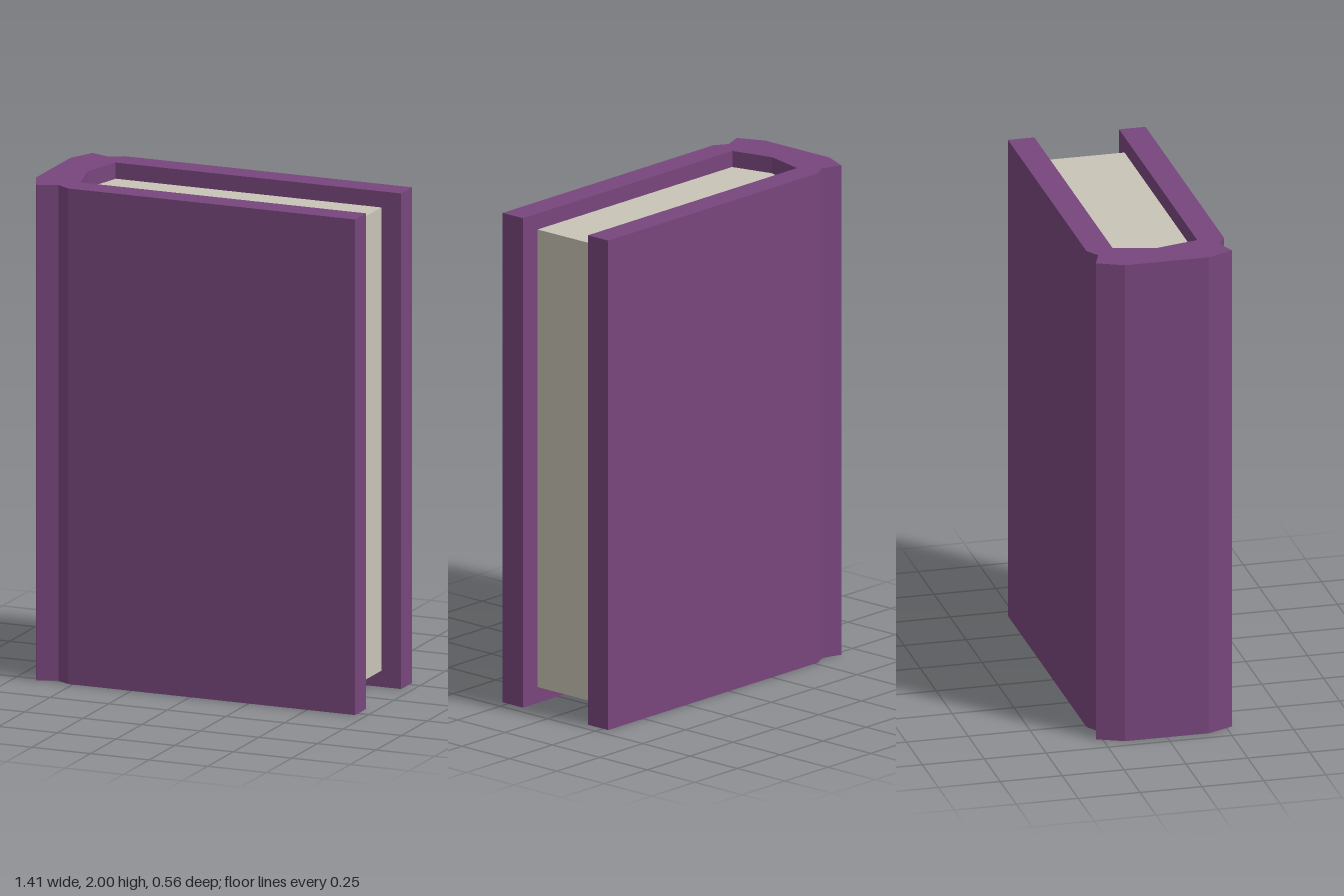
import * as THREE from 'three';

const purple = new THREE.MeshStandardMaterial({ color: 0x78467d });
purple.name = 'purple cover';
const cream = new THREE.MeshStandardMaterial({ color: 0xc9c4b7 });
cream.name = 'cream paper';

// Mirror a half outline [x, z] across z = 0 and extrude it upward from y0 to y1
function mirroredPrism(name, half, y0, y1, material) {
  const mirrored = half.filter(([, z]) => z !== 0).map(([x, z]) => [x, -z]).reverse();
  const points = [...half, ...mirrored].map(([x, z]) => new THREE.Vector2(x, z));
  const geometry = new THREE.ExtrudeGeometry(new THREE.Shape(points), { depth: y1 - y0, bevelEnabled: false });
  geometry.rotateX(-Math.PI / 2).translate(0, y0, 0);
  const mesh = new THREE.Mesh(geometry, material);
  mesh.name = name;
  return mesh;
}

export function createModel() {
  const book = new THREE.Group();
  book.name = 'book';

  // Cover: two boards joined by a faceted spine with a hinge groove on each side
  const coverHalf = [
    [-0.557, 0], [-0.515, 0.171], [0.705, 0.171], [0.705, 0.278], [-0.52, 0.278],
    [-0.575, 0.245], [-0.657, 0.275], [-0.705, 0.17],
  ];
  book.add(mirroredPrism('cover', coverHalf, 0, 2, purple));

  // Page block: sits inside the cover, recessed at top, bottom and fore edge
  const pageHalf = [[0.62, 0.171], [-0.513, 0.171], [-0.555, 0]];
  book.add(mirroredPrism('pages', [...pageHalf].reverse(), 0.065, 1.935, cream));

  return book;
}
